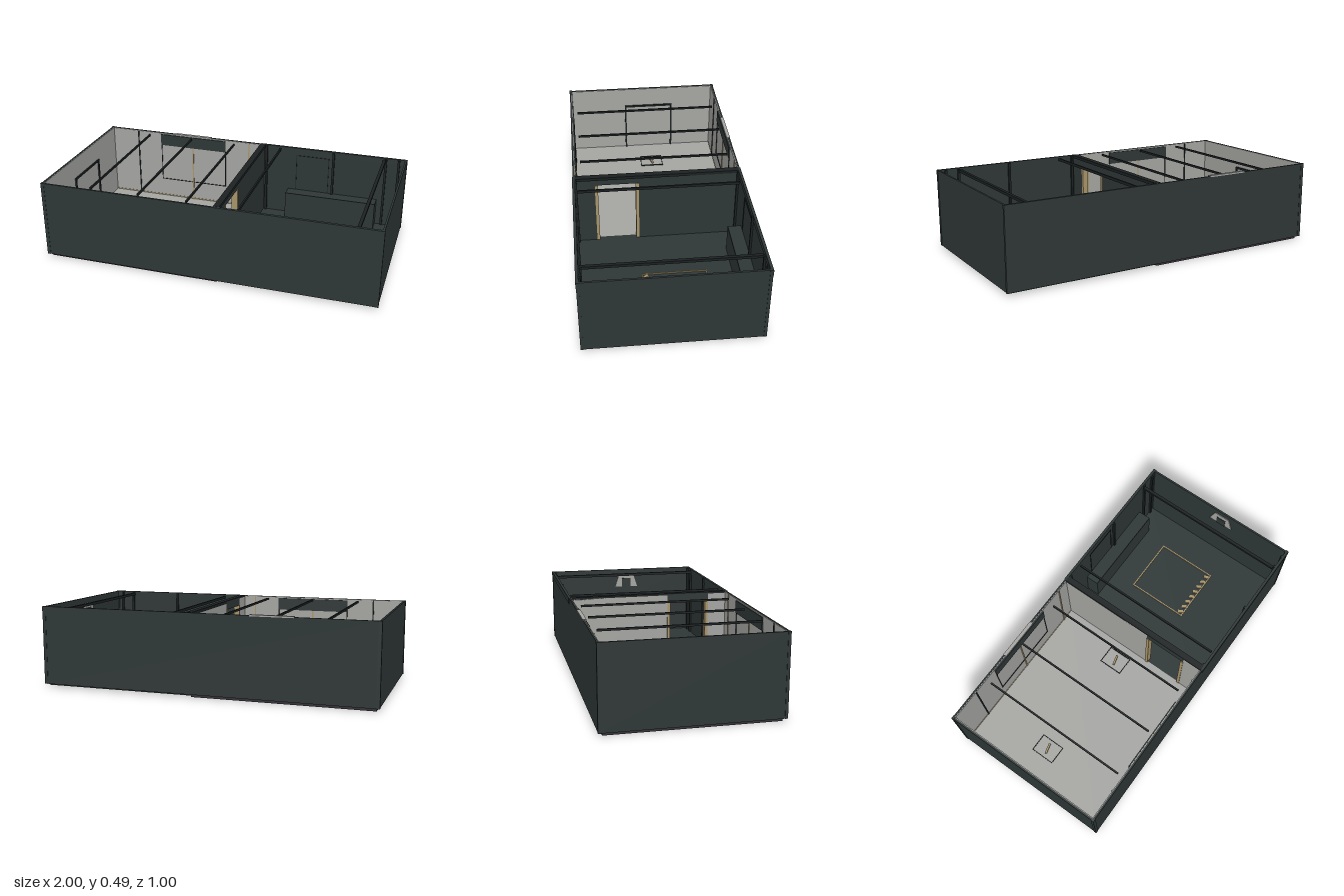
import * as THREE from 'three';

const mat = (name, color) => {
  const m = new THREE.MeshStandardMaterial({ color });
  m.name = name;
  return m;
};

export function createModel() {
  const dark = mat('dark slate', 0x2e3736);
  const black = mat('near black', 0x1c2122);
  const light = mat('light grey', 0xa5a5a2);
  const plum = mat('dark plum', 0x332f37);
  const wood = mat('pale wood', 0xa8946a);
  const model = new THREE.Group();
  model.name = 'twoRoomShell';

  // Box given by its extents on each axis
  const box = (name, m, [x0, x1], [y0, y1], [z0, z1], parent = model) => {
    const mesh = new THREE.Mesh(new THREE.BoxGeometry(x1 - x0, y1 - y0, z1 - z0), m);
    mesh.position.set((x0 + x1) / 2, (y0 + y1) / 2, (z0 + z1) / 2);
    mesh.name = name;
    parent.add(mesh);
    return mesh;
  };
  const group = (name) => {
    const g = new THREE.Group();
    g.name = name;
    model.add(g);
    return g;
  };
  // Flat rectangular outline lying on a floor
  const outline = (name, m, [x0, x1], [z0, z1], y, t) => {
    const g = group(name);
    for (const z of [z0, z1 - t]) box('crossBar', m, [x0, x1], [y, y + 0.006], [z, z + t], g);
    for (const x of [x0, x1 - t]) box('sideBar', m, [x, x + t], [y, y + 0.006], [z0 + t, z1 - t], g);
    return g;
  };

  // Base slabs and the two floors
  box('lightRoomBase', plum, [-0.98, 0.07], [0, 0.017], [-0.475, 0.475]);
  box('darkRoomBase', dark, [0.07, 0.98], [0.008, 0.018], [-0.475, 0.475]);
  box('lightFloor', light, [-0.985, 0.06], [0.017, 0.026], [-0.485, 0.485]);
  box('darkFloor', dark, [0.06, 0.985], [0.018, 0.026], [-0.485, 0.485]);

  // Outer walls, top rims and corner trims
  for (const s of [-1, 1]) {
    const span = (a, b) => [Math.min(s * a, s * b), Math.max(s * a, s * b)];
    box('longWall', dark, [-0.995, 0.995], [0.018, 0.484], span(0.486, 0.496));
    box('endWall', dark, span(0.986, 0.997), [0.018, 0.484], [-0.496, 0.496]);
    box('longRim', dark, [0.06, 1], [0.45, 0.485], span(0.484, 0.5));
    for (const e of [-1, 1]) {
      const x = [Math.min(e * 0.98, e), Math.max(e * 0.98, e)];
      box('cornerTrim', dark, x, [0.018, 0.485], span(0.482, 0.498));
    }

    // Light lining with wooden battens and skirting
    box('longLining', light, [-0.985, 0.055], [0.026, 0.482], span(0.481, 0.486));
    box('skirting', wood, [-0.98, 0.055], [0.028, 0.034], span(0.479, 0.481));
    for (const x of [-0.8, -0.41, -0.02])
      box('batten', x === -0.8 ? black : wood, [x - 0.004, x + 0.004], [0.026, 0.48], span(0.477, 0.481));

    // Wide window with a dark blind on each long wall
    const w = group('wideWindow');
    box('blind', dark, [-0.635, -0.18], [0.4, 0.475], span(0.473, 0.48), w);
    box('sill', black, [-0.635, -0.18], [0.15, 0.154], span(0.477, 0.481), w);
    for (const x of [-0.635, -0.184])
      box('windowSide', black, [x, x + 0.004], [0.15, 0.4], span(0.477, 0.481), w);

    // Posts in the dark room
    for (const x of [0.1, 0.54, 0.87, 0.95])
      box('post', black, [x - 0.007, x + 0.007], [0.026, 0.48], span(0.474, 0.486));
  }
  box('endLining', light, [-0.986, -0.981], [0.026, 0.482], [-0.481, 0.481]);
  box('windowHead', light, [-0.53, -0.28], [0.479, 0.488], [-0.497, -0.476]);

  // Door frame on the light end wall
  const frame = group('endDoorFrame');
  box('frameTop', black, [-0.981, -0.972], [0.345, 0.357], [-0.21, 0.12], frame);
  for (const z of [-0.21, 0.11]) box('frameSide', black, [-0.981, -0.972], [0.026, 0.345], [z, z + 0.01], frame);

  // Dividing wall with an open doorway
  const divider = group('dividingWall');
  for (const z of [[-0.485, 0.11], [0.37, 0.485]]) {
    box('wallPart', dark, [0.062, 0.085], [0.026, 0.48], z, divider);
    box('wallLining', light, [0.056, 0.062], [0.026, 0.475], z, divider);
  }
  box('header', dark, [0.056, 0.085], [0.43, 0.48], [0.11, 0.37], divider);
  box('topBeam', black, [0.056, 0.092], [0.468, 0.486], [-0.486, 0.486], divider);
  for (const z of [0.11, 0.352]) box('doorJamb', wood, [0.052, 0.088], [0.026, 0.43], [z, z + 0.018], divider);

  // Ceiling beams
  for (const x of [-0.705, -0.41, -0.115])
    box('lightRoomBeam', black, [x - 0.005, x + 0.005], [0.465, 0.477], [-0.45, 0.45]);
  for (const [x, w] of [[0.193, 0.005], [0.86, 0.009]])
    box('darkRoomBeam', black, [x - w, x + w], [0.46, 0.476], [-0.475, 0.475]);

  // Floor hatches with slanted wooden handles
  for (const x of [-0.82, -0.113]) {
    outline('floorHatch', black, [x, x + 0.115], [-0.12, 0.03], 0.026, 0.004);
    const handle = box('hatchHandle', wood, [x + 0.025, x + 0.09], [0.026, 0.036], [-0.051, -0.039]);
    handle.rotation.y = 0.25;
  }

  // Wooden floor outline with a row of slanted slats
  outline('woodenOutline', wood, [0.438, 0.792], [-0.258, 0.126], 0.026, 0.007);
  for (let i = 0; i < 8; i++) {
    const x = 0.463 + i * 0.043;
    const slat = box('slat', wood, [x - 0.009, x + 0.009], [0.026, 0.034], [0.088, 0.119]);
    slat.rotation.y = 0.5;
  }

  // Bench along the back of the dark room
  box('benchBody', dark, [0.25, 0.83], [0.026, 0.195], [-0.405, -0.486]. sort((a, b) => a - b));
  box('benchFrontEdge', black, [0.25, 0.83], [0.189, 0.197], [-0.41, -0.405]);
  for (const x of [0.3, 0.51])
    box('panelSeam', black, [x - 0.002, x + 0.002], [0.2, 0.435], [-0.486, -0.483]);
  box('panelSeam', black, [0.3, 0.51], [0.431, 0.435], [-0.486, -0.483]);

  // Small tapered window on the dark end wall
  const pane = new THREE.Shape([[-0.08, 0.36], [0.08, 0.36], [0.05, 0.45], [-0.05, 0.45]]
    .map(([a, b]) => new THREE.Vector2(a, b)));
  const paneMesh = new THREE.Mesh(new THREE.ExtrudeGeometry(pane, { depth: 0.005, bevelEnabled: false }), light);
  paneMesh.name = 'endWindow';
  paneMesh.rotation.y = -Math.PI / 2;
  paneMesh.position.set(0.986, 0, 0.03);
  model.add(paneMesh);
  box('endWindowBar', dark, [0.977, 0.981], [0.36, 0.42], [0.0, 0.06]);

  return model;
}
